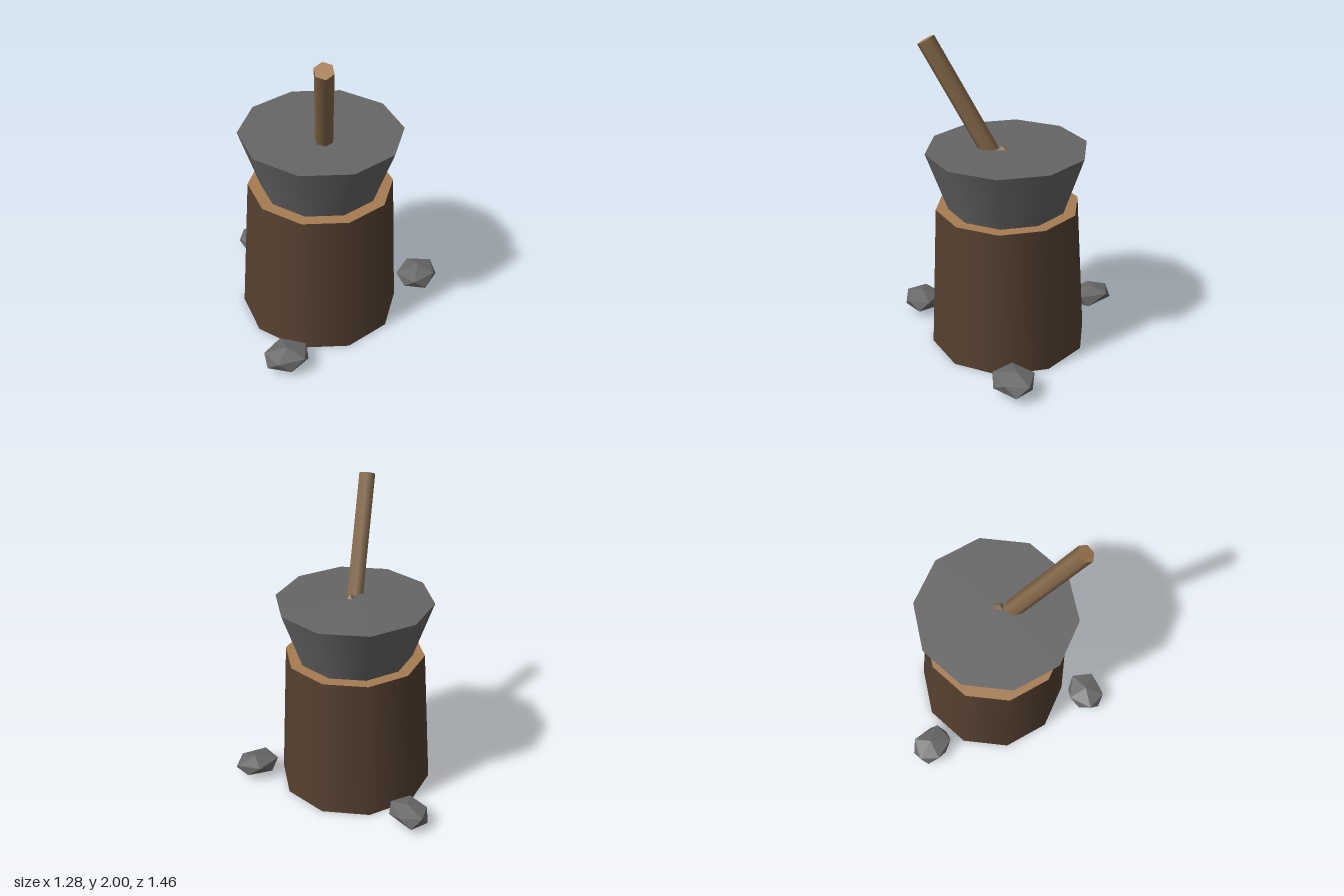
import * as THREE from 'three';
import { ConvexGeometry } from 'three/addons/geometries/ConvexGeometry.js';

const mat = (name, color) => {
  const m = new THREE.MeshStandardMaterial({ color });
  m.name = name;
  return m;
};

export function createModel() {
  const bark = mat('bark', 0x554030);
  const cutWood = mat('cut wood', 0xa67c52);
  const handleWood = mat('handle wood', 0x85694a);
  const iron = mat('iron', 0x666666);
  const stone = mat('stone', 0x696969);

  const model = new THREE.Group();
  model.name = 'anvilOnStump';
  const add = (name, geometry, material, x, y, z) => {
    const mesh = new THREE.Mesh(geometry, material);
    mesh.name = name;
    mesh.position.set(x, y, z);
    model.add(mesh);
    return mesh;
  };

  // Ten-sided stump and the flared iron block on it
  const cx = 0.155, cz = 0.022;
  add('stump', new THREE.CylinderGeometry(0.453, 0.505, 0.94, 10), [bark, cutWood, cutWood], cx, 0.47, cz);
  add('anvilBlock', new THREE.CylinderGeometry(0.505, 0.375, 0.375, 10), iron, cx, 1.1275, cz);

  // Leaning hexagonal handle, sunk a little into the block
  const top = new THREE.Vector3(0.53, 1.973, 0.32);
  const axis = new THREE.Vector3(0.275, 0.655, 0.237).normalize();
  const length = 0.85;
  const mid = top.clone().addScaledVector(axis, -length / 2);
  const handle = add('handle', new THREE.CylinderGeometry(0.058, 0.058, length, 6),
    [handleWood, cutWood, cutWood], mid.x, mid.y, mid.z);
  handle.quaternion.setFromUnitVectors(new THREE.Vector3(0, 1, 0), axis);

  // Wooden corner poking through beside the handle
  const corner = [[0.155, 1.315, 0], [0.185, 1.315, -0.015], [0.23, 1.315, 0.01],
    [0.19, 1.315, 0.042], [0.197, 1.337, 0.015], [0.19, 1.28, 0.01]];
  add('handleWedge', new ConvexGeometry(corner.map(p => new THREE.Vector3(...p))), handleWood, 0, 0, 0);

  // Faceted rocks: an apex, a base point and a zigzag ring of ten x, z points
  const rocks = [
    { apex: [-0.51, 0.035], ring: [-0.57, -0.06, -0.43, -0.05, -0.39, -0.015, -0.37, 0.05, -0.4, 0.125,
      -0.48, 0.15, -0.555, 0.155, -0.625, 0.12, -0.645, 0.065, -0.635, -0.01] },
    { apex: [0.45, -0.6], ring: [0.44, -0.73, 0.52, -0.71, 0.56, -0.645, 0.585, -0.545, 0.55, -0.475,
      0.48, -0.453, 0.4, -0.45, 0.36, -0.515, 0.335, -0.61, 0.39, -0.68] },
    { apex: [0.52, 0.585], ring: [0.535, 0.45, 0.597, 0.477, 0.64, 0.54, 0.625, 0.63, 0.577, 0.7,
      0.505, 0.725, 0.44, 0.7, 0.405, 0.63, 0.4, 0.545, 0.457, 0.485] },
  ];
  rocks.forEach(({ apex: [ax, az], ring }, n) => {
    const points = [new THREE.Vector3(ax, 0.148, az), new THREE.Vector3(ax, 0.01, az)];
    for (let i = 0; i < 10; i++) {
      points.push(new THREE.Vector3(ring[2 * i], i % 2 ? 0.05 : 0.113, ring[2 * i + 1]));
    }
    add('rock' + (n + 1), new ConvexGeometry(points), stone, 0, 0, 0);
  });

  return model;
}
